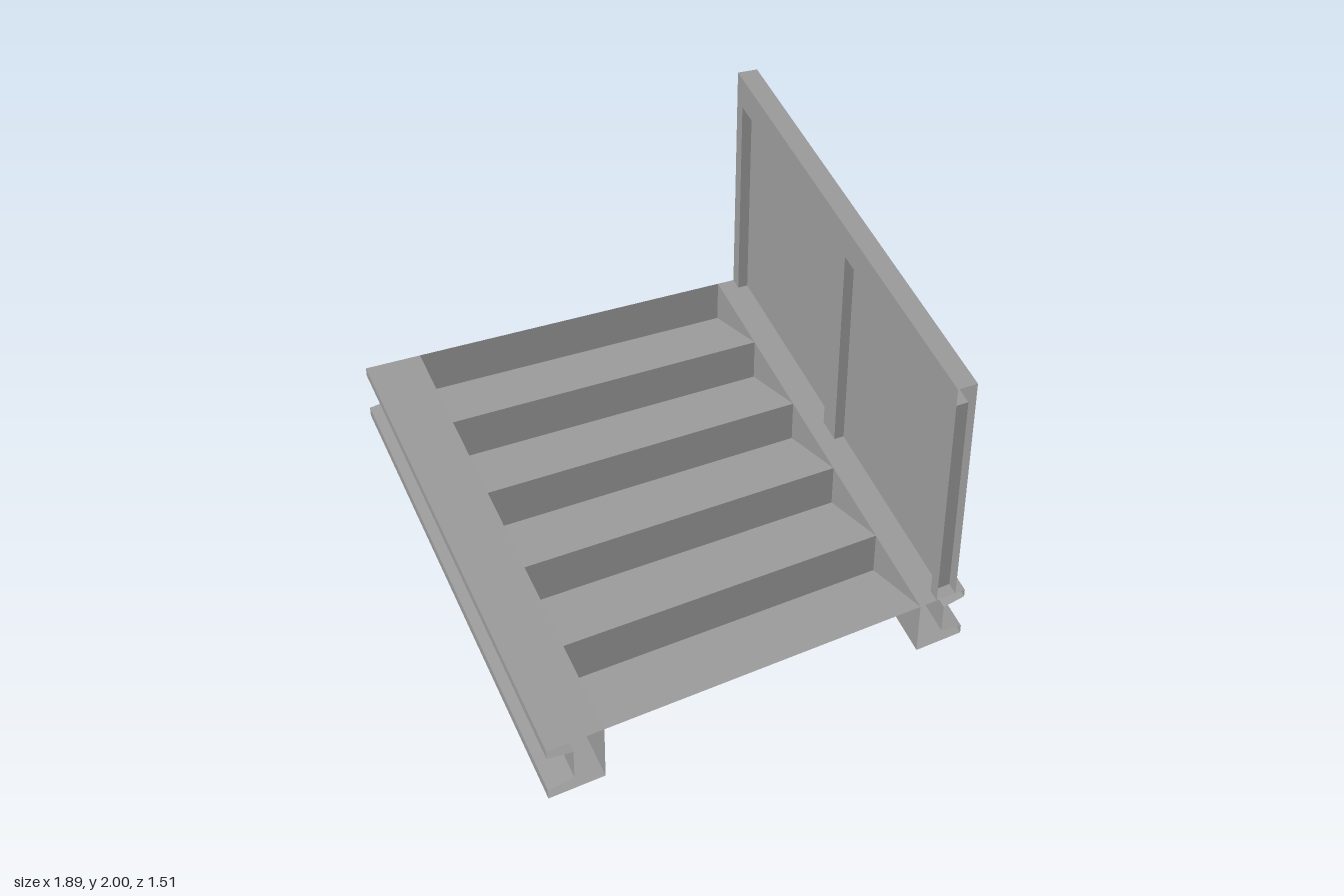
import * as THREE from 'three';

const END = 0.757;              // half length in z
const RISE = 0.84;              // climb from front to back
const DEPTH = 0.212;            // vertical depth of a stringer
const INNER = 0.717;            // inner face of the stringers
const SLOPE = RISE / (2 * END);

const material = new THREE.MeshStandardMaterial({
  color: 0x9b9b9b, flatShading: true, side: THREE.DoubleSide,
});

// Point at height h above the sloping base line
const at = (x, h, z) => [x, h + SLOPE * (END - z), z];

// Strip of quads joining two rows of points
function strip(name, a, b) {
  const positions = [];
  for (let i = 0; i < a.length - 1; i++) {
    positions.push(...a[i], ...b[i], ...b[i + 1], ...a[i], ...b[i + 1], ...a[i + 1]);
  }
  const geometry = new THREE.BufferGeometry();
  geometry.setAttribute('position', new THREE.Float32BufferAttribute(positions, 3));
  geometry.computeVertexNormals();
  const mesh = new THREE.Mesh(geometry, material);
  mesh.name = name;
  return mesh;
}

// Upright sheet at x, between two z and two heights; side is the facing in x
function upright(name, x, z0, z1, h0, h1, side = 1) {
  const [p, q] = side > 0 ? [z1, z0] : [z0, z1];
  return strip(name, [at(x, h0, p), at(x, h1, p)], [at(x, h0, q), at(x, h1, q)]);
}

// Open-ended hollow channel beam with tapered flanges
function stringer(name, side) {
  const profile = [
    [INNER, 0], [0.947, 0], [0.947, 0.035], [0.842, 0.05], [0.842, 0.165],
    [0.947, 0.18], [0.947, DEPTH], [INNER, DEPTH], [INNER, 0],
  ];
  const front = profile.map(([x, h]) => at(side * x, h, END));
  const back = profile.map(([x, h]) => at(side * x, h, -END));
  return side > 0 ? strip(name, front, back) : strip(name, back, front);
}

// Folded sheet of treads and risers
function steps() {
  const count = 5, run = (2 * END) / count, rise = RISE / count;
  const row = (x) => {
    const points = [[x, DEPTH, END]];
    for (let i = 0; i < count; i++) {
      const z = END - run * (i + 1);
      points.push([x, DEPTH + rise * i, z], [x, DEPTH + rise * (i + 1), z]);
    }
    return points;
  };
  return strip('steps', row(-INNER), row(INNER));
}

// Solid balustrade: hollow frame with two recessed panels
function balustrade() {
  const group = new THREE.Group();
  group.name = 'balustrade';
  const inner = 0.8, outer = 0.897, middle = (inner + outer) / 2;
  const low = DEPTH, under = 1.042, top = 1.16;
  const postEdge = 0.717, midEdge = 0.04;

  // Top rail, open at its ends
  const section = [[outer, under], [outer, top], [inner, top], [inner, under]];
  group.add(strip('topRail',
    section.map(([x, h]) => at(x, h, END)),
    section.map(([x, h]) => at(x, h, -END))));

  // Post faces on both sides
  for (const [z0, z1] of [[-END, -postEdge], [-midEdge, midEdge], [postEdge, END]]) {
    group.add(upright('postInnerFace', inner, z0, z1, low, under, -1));
    group.add(upright('postOuterFace', outer, z0, z1, low, under, 1));
  }

  // Recess walls and the thin panel inside each opening
  for (const [z0, z1] of [[-postEdge, -midEdge], [midEdge, postEdge]]) {
    const path = [[low, z0], [under, z0], [under, z1], [low, z1]];
    group.add(strip('recessWalls',
      path.map(([h, z]) => at(inner, h, z)),
      path.map(([h, z]) => at(outer, h, z))));
    group.add(upright('panel', middle, z0, z1, low, under));
  }
  return group;
}

export function createModel() {
  const model = new THREE.Group();
  model.name = 'staircase';
  model.add(stringer('leftStringer', 1), stringer('rightStringer', -1), steps(), balustrade());
  return model;
}
